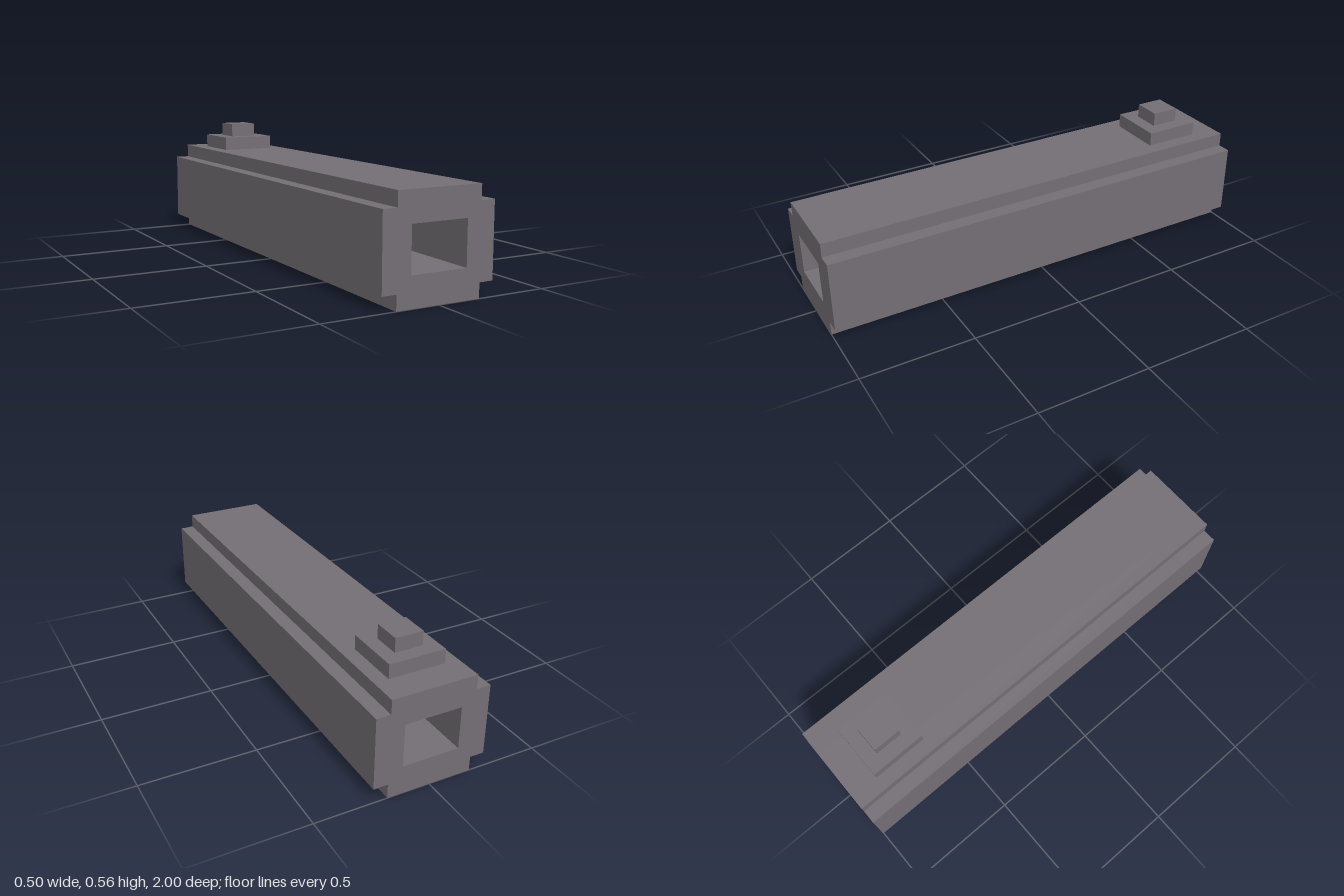
import * as THREE from 'three';

const U = 0.0625; // building unit: all sizes are whole multiples

export function createModel() {
  const group = new THREE.Group();
  const stone = new THREE.MeshStandardMaterial({ color: 0x746f75 });
  stone.name = 'warm grey stone';

  const add = (name, geometry) => {
    const mesh = new THREE.Mesh(geometry, stone);
    mesh.name = name;
    group.add(mesh);
  };
  // box given by its limits, in units
  const box = (name, x, y0, y1, z0, z1) => {
    const g = new THREE.BoxGeometry(2 * x * U, (y1 - y0) * U, (z1 - z0) * U);
    g.translate(0, ((y0 + y1) / 2) * U, ((z0 + z1) / 2) * U);
    add(name, g);
  };
  const points = (list) => list.map(([x, y]) => new THREE.Vector2(x * U, y * U));

  // long trough: floor and side walls with notched corners
  const half = [[3, 0], [3, 1], [4, 1], [4, 6], [3, 6], [3, 7], [2, 7], [2, 2]];
  const mirrored = half.map(([x, y]) => [-x, y]).reverse();
  const trough = new THREE.ExtrudeGeometry(
    new THREE.Shape(points([...half, ...mirrored])), { depth: 2, bevelEnabled: false });
  trough.translate(0, 0, -1);
  add('floorAndWalls', trough);

  // lower ceiling layer, leaving a wide recess under the chimney
  box('frontCeiling', 2, 5, 6, -10, 16);
  box('backCeiling', 2, 5, 6, -16, -14);

  // upper roof layer with a narrower recess
  const roofShape = new THREE.Shape(points([[-2, -16], [2, -16], [2, 16], [-2, 16]]));
  roofShape.holes.push(new THREE.Path(points([[-1, 11], [-1, 13], [1, 13], [1, 11]])));
  const roof = new THREE.ExtrudeGeometry(roofShape, { depth: U, bevelEnabled: false });
  roof.rotateX(-Math.PI / 2);
  roof.translate(0, 6 * U, 0);
  add('roof', roof);

  // stepped chimney near the back
  box('chimneyBase', 2, 7, 8, -14, -10);
  box('chimneyTop', 1, 8, 9, -13, -11);

  return group;
}
